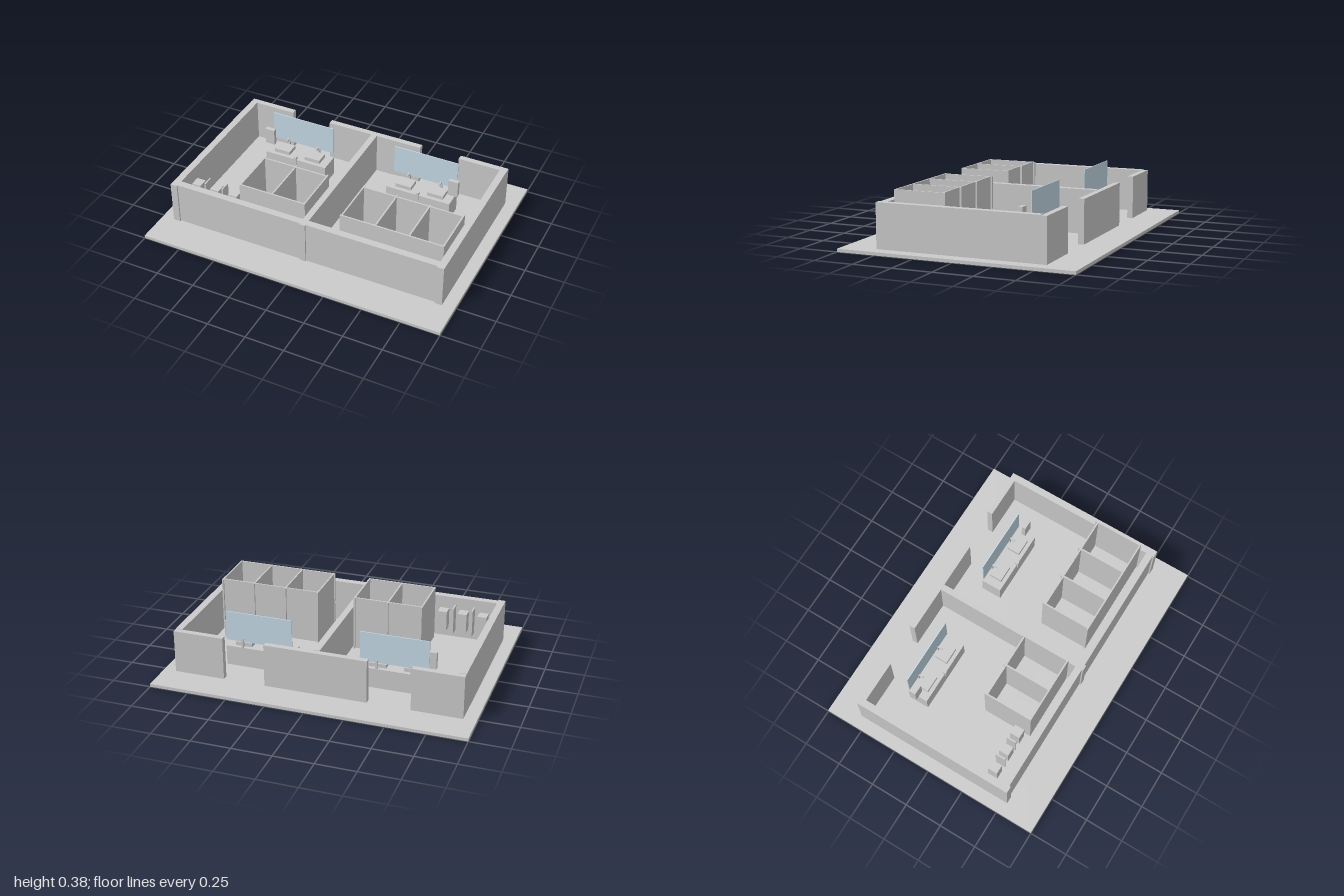
import * as THREE from 'three';

const grey = new THREE.MeshStandardMaterial({ color: 0xcccccc });
const glass = new THREE.MeshStandardMaterial({ color: 0xc6dbe8 });

// Box from its limits on each axis
function box(parent, name, [x0, x1], [y0, y1], [z0, z1], material = grey) {
  const mesh = new THREE.Mesh(new THREE.BoxGeometry(x1 - x0, y1 - y0, z1 - z0), material);
  mesh.position.set((x0 + x1) / 2, (y0 + y1) / 2, (z0 + z1) / 2);
  mesh.name = name;
  parent.add(mesh);
}

const around = (c, half) => [c - half, c + half];
const floorY = 0.02;

function group(parent, name) {
  const g = new THREE.Group();
  g.name = name;
  parent.add(g);
  return g;
}

// Row of cubicles between dividers, each with a door and a toilet
function addStalls(parent, dividers, x0, x1) {
  const stalls = group(parent, 'stalls');
  const y = [floorY, 0.375];
  for (const x of dividers) box(stalls, 'stallDivider', around(x, 0.005), y, [0.1, 0.42]);
  box(stalls, 'stallBackPanel', [x0, x1], y, [0.42, 0.43]);
  for (let i = 0; i < dividers.length - 1; i++) {
    const a = dividers[i], b = dividers[i + 1];
    box(stalls, 'stallDoor', [a + 0.005, b - 0.005], y, [0.112, 0.122]);
    box(stalls, 'toilet', around((a + b) / 2, 0.04), [floorY, 0.12], [0.265, 0.41]);
  }
}

// Washstand with two basins, taps, mirror and dispensers; side mirrors it in x
function addWashstand(parent, side) {
  const stand = group(parent, 'washstand');
  const cx = side * 0.437;
  box(stand, 'counter', around(cx, 0.218), [floorY, 0.15], [-0.355, -0.22]);
  for (const dx of [-0.11, 0.11]) {
    box(stand, 'basin', around(cx + dx, 0.054), [0.15, 0.175], [-0.33, -0.245]);
    box(stand, 'tapPost', around(cx + dx, 0.007), [0.15, 0.2], [-0.355, -0.34]);
    box(stand, 'tapSpout', around(cx + dx, 0.005), [0.2, 0.21], [-0.355, -0.31]);
  }
  box(stand, 'mirror', around(cx, 0.218), [0.19, 0.385], [-0.348, -0.342], glass);
  box(stand, 'soapDispenser', around(cx, 0.008), [0.11, 0.17], [-0.235, -0.212]);
  box(stand, 'towelDispenser', around(side * 0.653, 0.033), [0.18, 0.29], [-0.3, -0.274]);
}

export function createModel() {
  const model = new THREE.Group();
  model.name = 'washroomBuilding';
  box(model, 'floorSlab', [-1, 1], [0, floorY], [-0.75, 0.75]);

  // Outer walls, partition and back wall with two doorways
  const walls = group(model, 'walls');
  const y = [floorY, 0.3];
  box(walls, 'rightWall', [-0.92, -0.875], y, [-0.51, 0.53]);
  box(walls, 'leftWall', [0.875, 0.92], y, [-0.51, 0.53]);
  box(walls, 'partitionWall', [-0.02, 0.02], y, [-0.51, 0.53]);
  box(walls, 'frontWallRight', [-0.875, -0.02], y, [0.475, 0.52]);
  box(walls, 'frontWallLeft', [0.02, 0.875], y, [0.475, 0.52]);
  for (const x of [[-0.92, -0.6], [-0.327, 0.327], [0.595, 0.92]]) {
    box(walls, 'backWall', x, [floorY, 0.297], [-0.547, -0.51]);
  }

  // Cubicles
  addStalls(model, [0.215, 0.435, 0.653, 0.87], 0.203, 0.875);
  addStalls(model, [-0.475, -0.255, -0.035], -0.48, -0.03);

  // Urinals with privacy screens
  const urinals = group(model, 'urinals');
  for (const x of [-0.81, -0.68, -0.55]) {
    box(urinals, 'urinal', around(x, 0.03), [0.12, 0.25], [0.345, 0.41]);
  }
  for (const x of [-0.744, -0.62]) {
    box(urinals, 'urinalScreen', around(x, 0.005), [0.1, 0.28], [0.345, 0.41]);
  }

  for (const side of [-1, 1]) addWashstand(model, side);
  return model;
}
